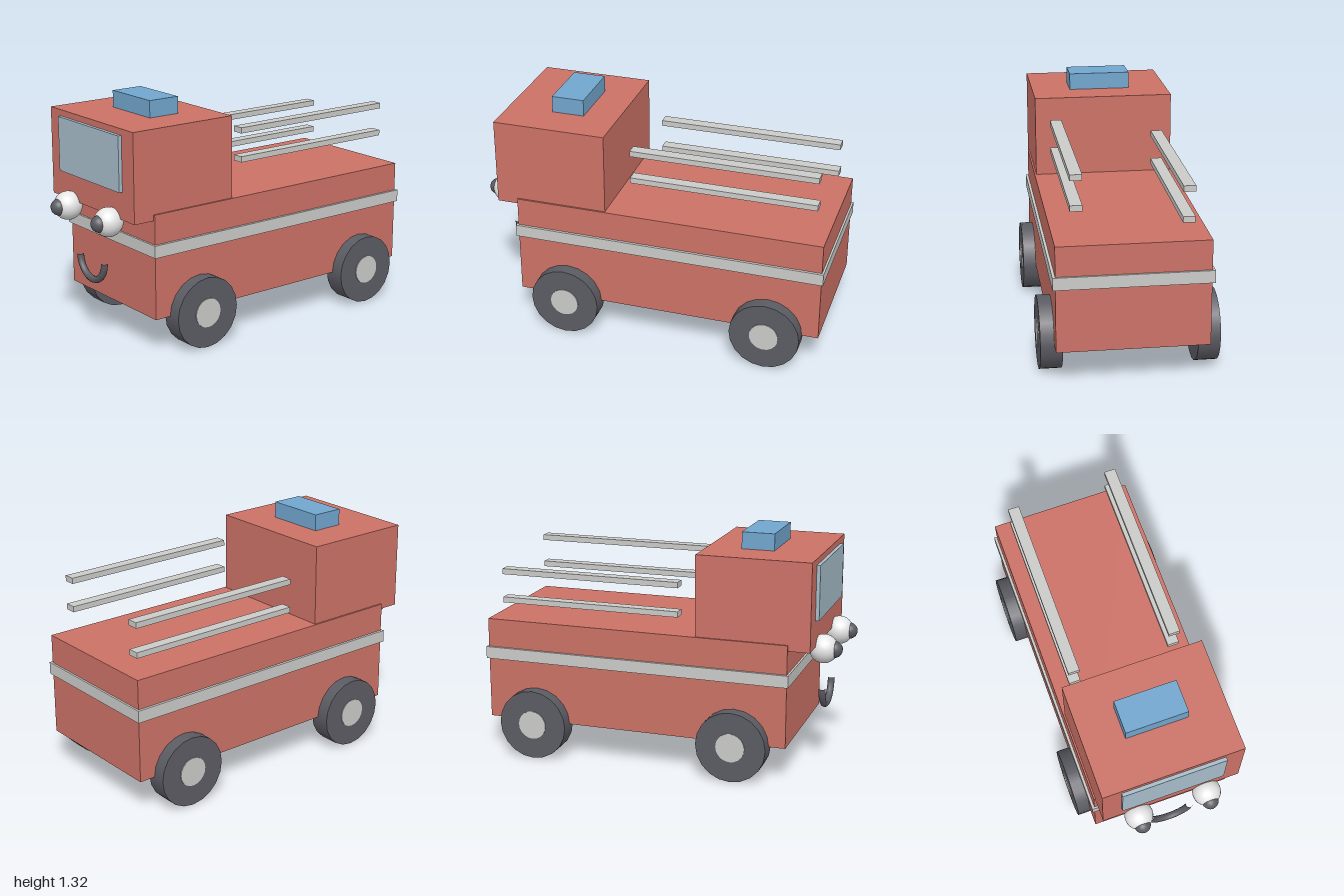
import * as THREE from 'three';

const mat = (name, color) => {
  const m = new THREE.MeshStandardMaterial({ color });
  m.name = name;
  return m;
};

export function createModel() {
  const red = mat('red paint', 0xcb7166);
  const silver = mat('silver trim', 0xcacac8);
  const glass = mat('window glass', 0xa6bcc9);
  const blue = mat('blue beacon', 0x71a5cd);
  const dark = mat('dark rubber', 0x5b5b63);
  const white = mat('eye white', 0xe6e6e6);

  const truck = new THREE.Group();
  truck.name = 'fireTruck';

  const add = (name, geometry, material, x = 0, y = 0, z = 0, parent = truck) => {
    const mesh = new THREE.Mesh(geometry, material);
    mesh.name = name;
    mesh.position.set(x, y, z);
    parent.add(mesh);
    return mesh;
  };

  // Box centred on x between y0..y1 and z0..z1
  const box = (name, material, width, y0, y1, z0, z1, x = 0) =>
    add(name, new THREE.BoxGeometry(width, y1 - y0, z1 - z0), material, x, (y0 + y1) / 2, (z0 + z1) / 2);

  // Body, cab and trim
  box('body', red, 0.805, 0.2, 0.776, -0.988, 0.747);
  box('stripe', silver, 0.835, 0.546, 0.614, -0.999, 0.758);
  box('cab', red, 0.785, 0.743, 1.228, 0.233, 0.867);
  box('windshield', glass, 0.576, 0.894, 1.194, 0.855, 0.887);
  box('beacon', blue, 0.346, 1.22, 1.321, 0.425, 0.608);

  // Ladder rails, staggered in height between the two sides
  [[1.115, 1], [1.034, -1], [0.954, 1], [0.87, -1]].forEach(([y, side]) =>
    box('ladderRail', silver, 0.064, y - 0.016, y + 0.016, -0.93, 0.11, side * 0.288));

  // Eyes with pupils
  for (const side of [-1, 1]) {
    const eye = new THREE.Group();
    eye.name = side > 0 ? 'leftEye' : 'rightEye';
    eye.position.set(side * 0.197, 0.719, 0.897);
    truck.add(eye);
    add('eyeball', new THREE.SphereGeometry(0.079, 24, 16), white, 0, 0, 0, eye);
    add('pupil', new THREE.SphereGeometry(0.046, 20, 14), dark, 0, 0, 0.057, eye);
  }

  // Smile: lower half of a ring
  const smile = add('smile', new THREE.TorusGeometry(0.117, 0.019, 10, 24, Math.PI), dark, 0, 0.464, 0.876);
  smile.rotation.z = Math.PI;

  // Wheels with hubs
  const tyre = new THREE.CylinderGeometry(0.197, 0.197, 0.118, 20).rotateZ(Math.PI / 2);
  const hub = new THREE.CylinderGeometry(0.081, 0.081, 0.128, 20).rotateZ(Math.PI / 2);
  for (const side of [-1, 1]) {
    for (const z of [0.459, -0.701]) {
      const wheel = new THREE.Group();
      wheel.name = (z > 0 ? 'front' : 'rear') + (side > 0 ? 'Left' : 'Right') + 'Wheel';
      wheel.position.set(side * 0.416, 0.197, z);
      truck.add(wheel);
      add('tyre', tyre, dark, 0, 0, 0, wheel);
      add('hub', hub, silver, 0, 0, 0, wheel);
    }
  }

  return truck;
}
